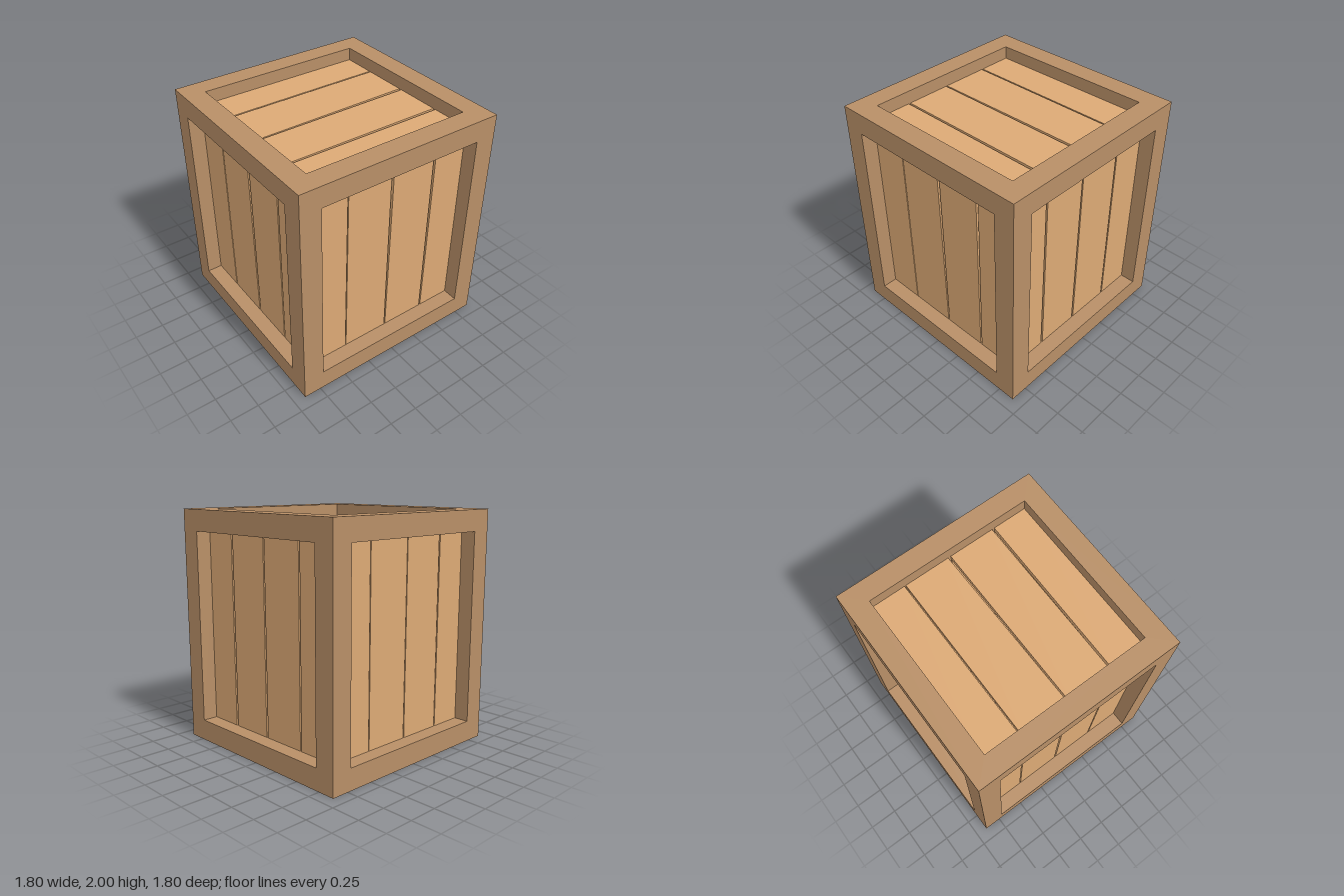
import * as THREE from 'three';

const BEAM = 0.18, HALF = 0.9, HEIGHT = 2, THICK = 0.05;

const frameMat = new THREE.MeshStandardMaterial({ color: 0xb88f67 });
const plankMat = new THREE.MeshStandardMaterial({ color: 0xdca975 });

function addMesh(parent, name, geometry, material) {
  const mesh = new THREE.Mesh(geometry, material);
  mesh.name = name;
  parent.add(mesh);
  return mesh;
}

function polygon(PathType, points) {
  return new PathType(points.map(([x, y]) => new THREE.Vector2(x, y)));
}

const square = (r) => [[-r, -r], [r, -r], [r, r], [-r, r]];

// Four slightly tapered planks; each gap is [left at top, right at top, left at bottom, right at bottom]
function makePanel(name, gaps, halfWidth, halfLength) {
  const panel = new THREE.Group();
  panel.name = name;
  const w = halfWidth;
  const edges = [[-w, -w, -w, -w], ...gaps, [w, w, w, w]];
  for (let i = 0; i < edges.length - 1; i++) {
    const l = edges[i], r = edges[i + 1];
    const shape = polygon(THREE.Shape, [
      [l[3], -halfLength], [r[2], -halfLength], [r[0], halfLength], [l[1], halfLength],
    ]);
    const geo = new THREE.ExtrudeGeometry(shape, { depth: THICK, bevelEnabled: false });
    geo.translate(0, 0, -THICK);
    addMesh(panel, 'plank', geo, plankMat);
  }
  return panel;
}

export function createModel() {
  const crate = new THREE.Group();
  crate.name = 'crate';

  // Top and bottom rims
  const rimShape = polygon(THREE.Shape, square(HALF));
  rimShape.holes.push(polygon(THREE.Path, square(HALF - BEAM)));
  const rimGeo = new THREE.ExtrudeGeometry(rimShape, { depth: BEAM, bevelEnabled: false });
  rimGeo.rotateX(-Math.PI / 2);
  addMesh(crate, 'bottomRim', rimGeo, frameMat);
  addMesh(crate, 'topRim', rimGeo, frameMat).position.y = HEIGHT - BEAM;

  // Corner posts
  const postGeo = new THREE.BoxGeometry(BEAM, HEIGHT - 2 * BEAM, BEAM);
  const c = HALF - BEAM / 2;
  for (const sx of [-1, 1]) {
    for (const sz of [-1, 1]) {
      addMesh(crate, 'cornerPost', postGeo, frameMat).position.set(sx * c, HEIGHT / 2, sz * c);
    }
  }

  // Recessed plank panels: name, position, rotation, gaps
  const q = Math.PI / 2, d = 0.77, low = 0.11;
  const panels = [
    ['frontPanel', [0, 1, d], [0, 0, 0],
      [[-0.414, -0.404, -0.414, -0.404], [-0.018, 0.006, -0.003, 0.01], [0.402, 0.418, 0.398, 0.408]]],
    ['backPanel', [0, 1, -d], [0, 2 * q, 0],
      [[-0.42, -0.404, -0.416, -0.398], [-0.01, 0.002, -0.012, 0.006], [0.402, 0.416, 0.402, 0.416]]],
    ['leftPanel', [d, 1, 0], [0, q, 0],
      [[-0.405, -0.397, -0.405, -0.397], [-0.004, 0.02, 0.01, 0.02], [0.41, 0.432, 0.407, 0.42]]],
    ['rightPanel', [-d, 1, 0], [0, -q, 0],
      [[-0.394, -0.386, -0.394, -0.386], [0.022, 0.03, 0.016, 0.026], [0.418, 0.432, 0.416, 0.426]]],
    ['topPanel', [0, HEIGHT - low, 0], [-q, 0, 0],
      [[-0.426, -0.414, -0.426, -0.414], [-0.02, 0.004, -0.002, 0.009], [0.402, 0.424, 0.4, 0.416]]],
    ['bottomPanel', [0, low, 0], [q, 0, q],
      [[-0.414, -0.4, -0.42, -0.406], [-0.01, 0.01, -0.014, 0.008], [0.42, 0.428, 0.42, 0.428]]],
  ];
  for (const [name, position, rotation, gaps] of panels) {
    const flat = position[1] !== 1;
    const panel = makePanel(name, gaps, 0.77, flat ? 0.77 : 0.88);
    panel.position.set(...position);
    panel.rotation.set(...rotation);
    crate.add(panel);
  }
  return crate;
}
